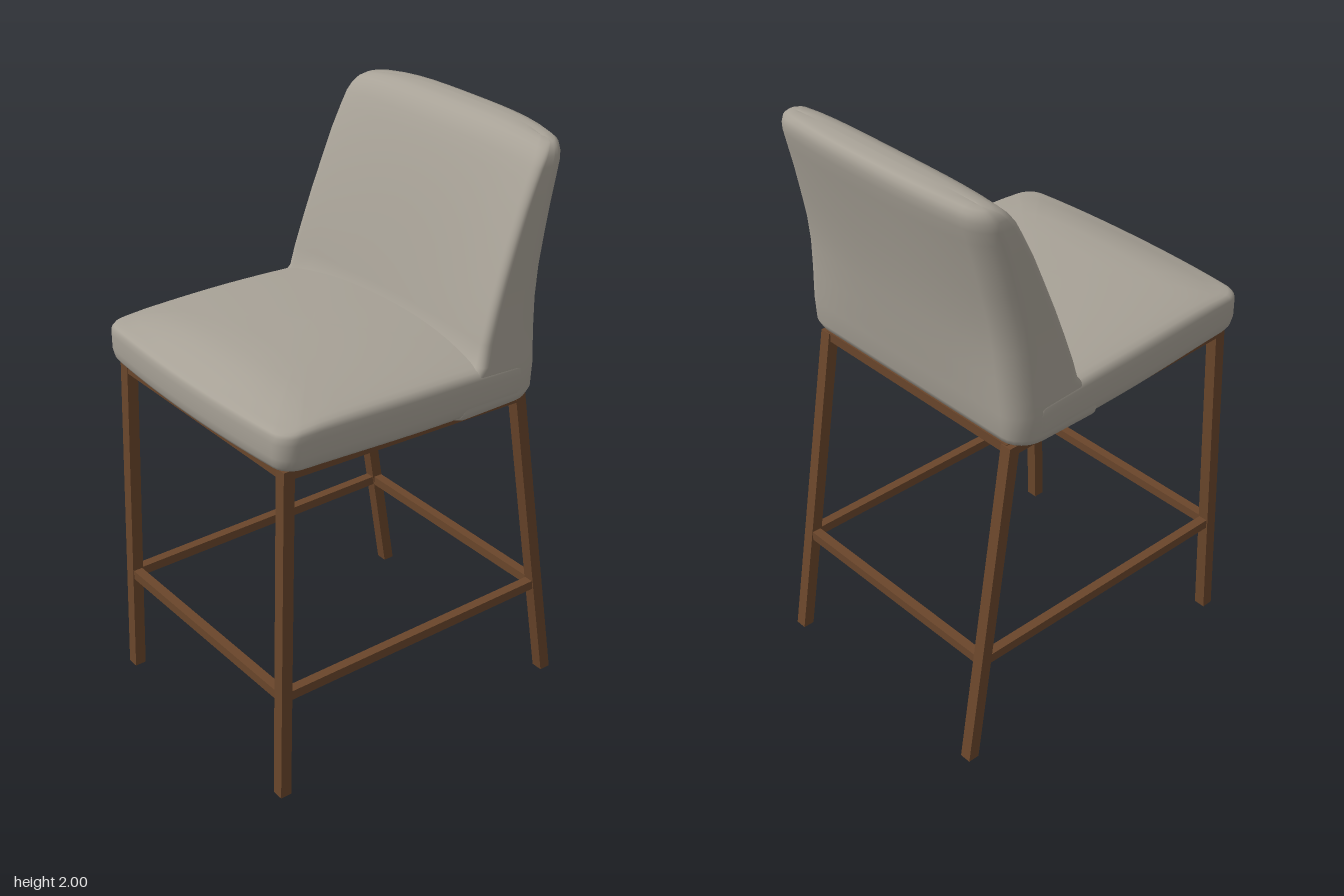
import * as THREE from 'three';

const fabric = new THREE.MeshStandardMaterial({ color: 0xa8a297 });
fabric.name = 'warm grey upholstery';
const wood = new THREE.MeshStandardMaterial({ color: 0x6a462b });
wood.name = 'brown frame';

const fade = THREE.MathUtils.smoothstep;

// Rounded rectangle in x and z, always with the same number of points
function outline(w, z0, z1, rBack, rFront) {
  const limit = Math.min(w, (z1 - z0) / 2);
  const rf = Math.min(rFront, limit), rb = Math.min(rBack, limit);
  const corners = [[w - rf, z1 - rf, rf], [rf - w, z1 - rf, rf], [rb - w, z0 + rb, rb], [w - rb, z0 + rb, rb]];
  const at = (q, t) => {
    const [x, z, r] = corners[q % 4], a = (q + t) * Math.PI / 2;
    return [x + r * Math.cos(a), z + r * Math.sin(a)];
  };
  const points = [];
  for (let q = 0; q < 4; q++) {
    for (let i = 0; i <= 6; i++) points.push(at(q, i / 6));
    const a = at(q, 1), b = at(q + 1, 0);
    for (let i = 1; i < 12; i++) {
      const t = i / 12;
      points.push([a[0] + (b[0] - a[0]) * t, a[1] + (b[1] - a[1]) * t]);
    }
  }
  return points;
}

// Skin through stacked closed rings, bottom to top
function loft(rings) {
  const n = rings[0].length, index = [];
  for (let j = 0; j < rings.length - 1; j++) {
    for (let i = 0; i < n; i++) {
      const a = j * n + i, b = j * n + (i + 1) % n;
      index.push(a, a + n, b, b, a + n, b + n);
    }
  }
  const g = new THREE.BufferGeometry();
  g.setAttribute('position', new THREE.Float32BufferAttribute(rings.flat(2), 3));
  g.setIndex(index);
  g.computeVertexNormals();
  return g;
}

// Seat cushion: flat tilted base, rounded sides, crowned top
function seatGeometry() {
  const base = outline(0.515, -0.36, 0.565, 0.04, 0.06);
  // height, scale, share of crown
  const levels = [
    [0, 0, 0], [0, 0.5, 0], [0, 0.94, 0], [0.006, 0.97, 0], [0.02, 0.988, 0], [0.05, 1, 0], [0.1, 1, 0.1],
    [0.125, 0.997, 0.3], [0.14, 0.985, 0.6], [0.149, 0.965, 0.85], [0.152, 0.93, 1], [0.153, 0.86, 1],
    [0.153, 0.75, 1], [0.153, 0.6, 1], [0.153, 0.4, 1], [0.153, 0.2, 1], [0.153, 0, 1],
  ];
  return loft(levels.map(([h, s, k]) => base.map(([px, pz]) => {
    const u = px / 0.515;
    const bulge = 0.025 * (1 - u * u) * fade(pz, 0, 0.565);
    const x = px * s * (1 - 0.035 * fade(pz, 0, 0.6));
    const z = 0.1 + (pz + bulge - 0.1) * s;
    const crown = 0.05 * (1 - Math.abs(x / 0.515) ** 2.5) * fade(0.62 - z, 0, 0.22) - 0.07 * (z - 0.28) ** 2;
    return [x, 1.18 + h + 0.03 * z * (1 - k) + crown * k, z];
  })));
}

// Backrest: leaning wedge with bowed rear and rolled top edge
function backGeometry() {
  // height, front z, rear z, half width
  const levels = [
    [1.165, -0.25, -0.25, 0.4], [1.165, -0.13, -0.395, 0.49], [1.175, -0.12, -0.41, 0.503],
    [1.2, -0.12, -0.422, 0.512], [1.28, -0.155, -0.432, 0.513], [1.33, -0.205, -0.44, 0.508],
    [1.4, -0.222, -0.45, 0.503], [1.5, -0.25, -0.465, 0.497], [1.6, -0.278, -0.482, 0.492],
    [1.7, -0.308, -0.503, 0.487], [1.8, -0.34, -0.525, 0.483], [1.88, -0.37, -0.545, 0.479],
    [1.93, -0.39, -0.557, 0.476], [1.96, -0.408, -0.561, 0.47], [1.982, -0.428, -0.558, 0.458],
    [1.995, -0.452, -0.548, 0.44], [2, -0.475, -0.53, 0.415], [2.001, -0.502, -0.502, 0.39],
  ];
  return loft(levels.map(([y, zf, zb, w]) => outline(w, zb, zf, 0.08, 0.03).map(([x, z]) => {
    const u = Math.abs(x / w);
    const rear = zf > zb ? (zf - z) / (zf - zb) : 0.5;
    const rearBow = 0.045 * fade(y, 1.17, 1.6) * u ** 3;
    const frontBow = 0.04 * fade(2 - y, 0, 0.65) * u * u;
    const drop = 0.018 * fade(y, 1.8, 2) * u ** 4;
    return [x, y - drop, z + rearBow * rear + frontBow * (1 - rear)];
  })));
}

export function createModel() {
  const model = new THREE.Group();
  const add = (name, geometry, material) => {
    const mesh = new THREE.Mesh(geometry, material);
    mesh.name = name;
    model.add(mesh);
    return mesh;
  };
  const box = (name, sx, sy, sz, x, y, z) =>
    add(name, new THREE.BoxGeometry(sx, sy, sz), wood).position.set(x, y, z);

  add('seat', seatGeometry(), fabric);
  add('backrest', backGeometry(), fabric);

  // Splayed leg with level ends: a box sheared from foot to top
  const leg = (name, side, height, zTop, zFoot) => {
    const g = new THREE.BoxGeometry(0.041, height, 0.04).translate(0, height / 2, 0);
    const p = g.attributes.position;
    for (let i = 0; i < p.count; i++) {
      const t = p.getY(i) / height;
      p.setX(i, p.getX(i) + side * (0.444 - 0.008 * t));
      p.setZ(i, p.getZ(i) + zFoot + (zTop - zFoot) * t);
    }
    g.computeVertexNormals();
    add(name, g, wood);
  };

  // Side rail sloping down to the rear
  const sideRail = (name, side) => {
    const g = new THREE.BoxGeometry(0.04, 0.034, 0.9);
    const p = g.attributes.position;
    for (let i = 0; i < p.count; i++) p.setY(i, p.getY(i) + p.getZ(i) * 0.035);
    g.translate(side * 0.436, 1.162, 0.067);
    g.computeVertexNormals();
    add(name, g, wood);
  };

  for (const [label, side] of [['left', 1], ['right', -1]]) {
    leg(label + 'FrontLeg', side, 1.192, 0.52, 0.558);
    leg(label + 'BackLeg', side, 1.16, -0.388, -0.575);
    sideRail(label + 'SeatRail', side);
    box(label + 'Stretcher', 0.033, 0.033, 1.03, side * 0.441, 0.382, 0.02);
  }

  // Cross rails and stretchers
  box('frontSeatRail', 0.87, 0.034, 0.036, 0, 1.177, 0.52);
  box('backSeatRail', 0.87, 0.034, 0.036, 0, 1.146, -0.386);
  box('frontStretcher', 0.88, 0.033, 0.033, 0, 0.382, 0.546);
  box('backStretcher', 0.88, 0.033, 0.033, 0, 0.382, -0.513);

  return model;
}
